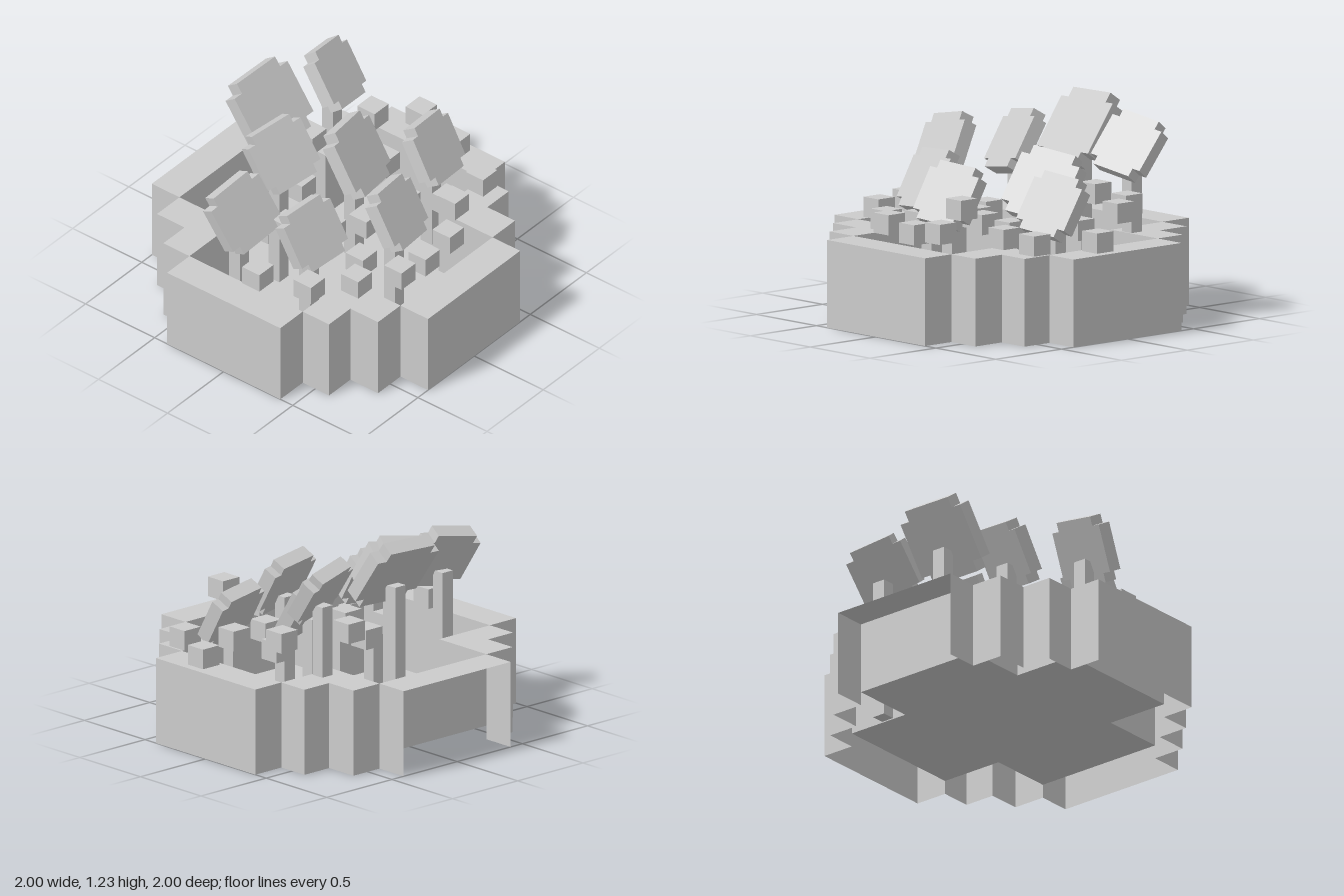
import * as THREE from 'three';

const TOP = 0.5, FLOOR = 0.08;

export function createModel() {
  const root = new THREE.Group();
  const mat = new THREE.MeshStandardMaterial({ color: 0xcccccc, flatShading: true, side: THREE.DoubleSide });

  const add = (geo, name, x = 0, y = 0, z = 0, parent = root) => {
    const mesh = new THREE.Mesh(geo, mat);
    mesh.name = name;
    mesh.position.set(x, y, z);
    parent.add(mesh);
    return mesh;
  };

  // Repeat one quadrant outline [x, z] in all four quadrants
  const mirror = (quarter) => {
    const back = [...quarter].reverse();
    return [
      ...quarter,
      ...back.map(([x, z]) => [x, -z]),
      ...quarter.map(([x, z]) => [-x, -z]),
      ...back.map(([x, z]) => [-x, z]),
    ];
  };
  const outer = mirror([[0.41, 1], [0.41, 0.8], [0.61, 0.8], [0.61, 0.6], [0.8, 0.6], [0.8, 0.41], [1, 0.41]]);
  const inner = mirror([[0.41, 0.8], [0.41, 0.41], [0.8, 0.41]]);
  const toVectors = (pts) => pts.map(([x, z]) => new THREE.Vector2(x, -z));

  // Planter: flat stepped rim with a cross-shaped opening
  const rimShape = new THREE.Shape(toVectors(outer));
  rimShape.holes.push(new THREE.Path(toVectors(inner)));
  add(new THREE.ShapeGeometry(rimShape).rotateX(-Math.PI / 2), 'planterRim', 0, TOP, 0);

  // Thin upright walls along an outline
  const walls = (pts, bottom, name, skip = () => false) => {
    pts.forEach((a, i) => {
      const b = pts[(i + 1) % pts.length];
      if (skip(a, b)) return;
      const dx = b[0] - a[0], dz = b[1] - a[1];
      const wall = add(new THREE.PlaneGeometry(Math.hypot(dx, dz), TOP - bottom), name,
        (a[0] + b[0]) / 2, (TOP + bottom) / 2, (a[1] + b[1]) / 2);
      wall.rotation.y = Math.atan2(-dz, dx);
    });
  };
  // The outermost back panel is left open
  walls(outer, 0, 'planterOuterWall', (a, b) => a[1] === -1 && b[1] === -1);
  walls(inner, FLOOR, 'planterInnerWall');

  // Floor of the planter
  add(new THREE.ShapeGeometry(new THREE.Shape(toVectors(inner))).rotateX(-Math.PI / 2), 'planterFloor', 0, FLOOR, 0);

  // Flower head: a slab with notched corners
  const headGeometry = (size, depth) => {
    const a = size / 2, b = size * 0.36;
    const shape = new THREE.Shape(toVectors(mirror([[b, a], [b, b], [a, b]])));
    return new THREE.ExtrudeGeometry(shape, { depth, bevelEnabled: false }).translate(0, 0, -depth / 2);
  };

  // x, y, z, size, tilt, yaw, roll
  const flowers = [
    [0.0, 0.74, 0.44, 0.36, 0.53, 0.15, 0],
    [-0.45, 0.74, 0.19, 0.36, 0.53, -0.14, 0],
    [0.61, 0.73, 0.21, 0.36, 0.53, 0.14, -0.03],
    [0.245, 0.77, -0.05, 0.41, 0.56, 0.22, 0],
    [-0.2, 0.95, -0.235, 0.37, 0.58, -0.28, 0],
    [0.035, 1.02, -0.51, 0.45, 0.62, -0.05, 0],
    [0.53, 0.99, -0.44, 0.36, 0.62, 0.22, -0.06],
    [-0.68, 0.87, -0.13, 0.38, 0.5, -0.18, 0.11],
  ];
  for (const [x, y, z, size, tilt, yaw, roll] of flowers) {
    const flower = new THREE.Group();
    flower.name = 'flower';
    root.add(flower);
    const head = add(headGeometry(size, 0.085), 'flowerHead', x, y, z, flower);
    head.rotation.set(-tilt, yaw, roll);
    const stemTop = y - 0.08;
    add(new THREE.BoxGeometry(0.08, stemTop - FLOOR, 0.08), 'stem', x, (stemTop + FLOOR) / 2, z - 0.02, flower);
  }

  // Small leaf blocks: x, y, z
  const leaves = [
    [-0.77, 0.58, 0.06], [-0.68, 0.58, 0.36], [-0.45, 0.56, 0.515], [-0.28, 0.56, 0.41],
    [-0.255, 0.58, 0.67], [-0.04, 0.55, 0.67], [0.175, 0.58, 0.67], [0.29, 0.725, 0.615],
    [0.455, 0.56, 0.44], [0.73, 0.56, 0.46], [0.3, 0.56, 0.255], [0.01, 0.56, 0.2],
    [-0.165, 0.56, 0.095], [0.895, 0.56, 0.13], [0.845, 0.7, -0.07], [0.515, 0.56, -0.07],
    [0.68, 0.7, -0.285], [0.02, 0.58, -0.275], [-0.3, 0.56, -0.11], [0.28, 0.7, -0.41],
  ];
  const leafGeo = new THREE.BoxGeometry(0.125, 0.115, 0.125);
  for (const [x, y, z] of leaves) add(leafGeo, 'leafBlock', x, y, z);

  return root;
}
